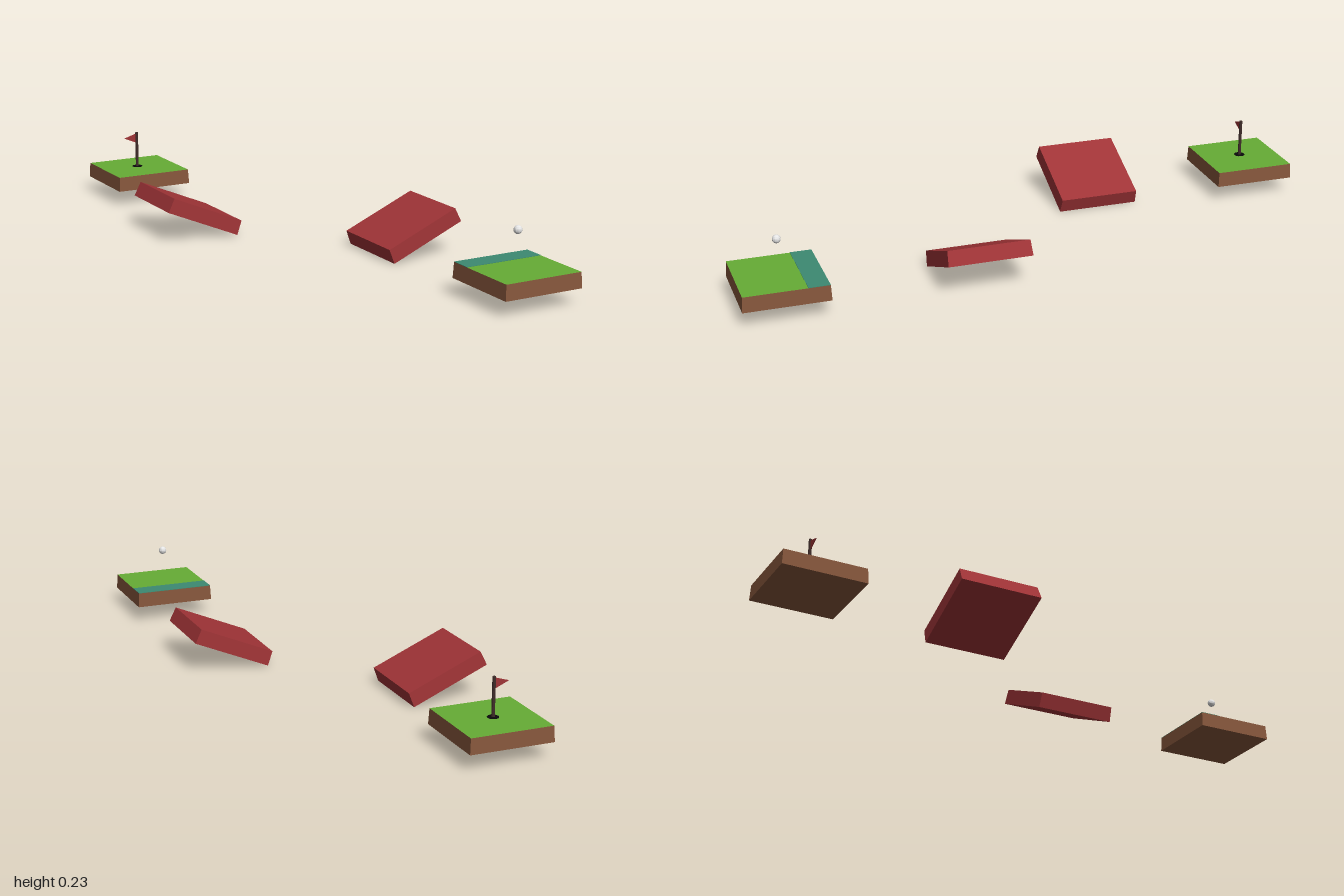
import * as THREE from 'three';

const mat = (name, color, extra = {}) => {
  const m = new THREE.MeshStandardMaterial({ color, flatShading: true, ...extra });
  m.name = name;
  return m;
};

export function createModel() {
  const model = new THREE.Group();
  model.name = 'golfCourse';

  const grass = mat('grass green', 0x66ad35);
  const soil = mat('soil brown', 0x87573c);
  const red = mat('red', 0xa03437, { side: THREE.DoubleSide });
  const teal = mat('teal', 0x3d8a72);
  const dark = mat('pole dark brown', 0x3f2c29);
  const black = mat('hole black', 0x0a0a0a);
  const white = mat('ball white', 0xe4e4e4);

  const add = (parent, name, geometry, material, x, y, z) => {
    const mesh = new THREE.Mesh(geometry, material);
    mesh.name = name;
    mesh.position.set(x, y, z);
    parent.add(mesh);
    return mesh;
  };

  // Square slab, slightly wider at the bottom; groups are side, top, bottom
  const TOP = 0.267, BOTTOM = 0.272, THICK = 0.05;
  const slab = new THREE.CylinderGeometry(TOP / Math.SQRT2, BOTTOM / Math.SQRT2, THICK, 4)
    .rotateY(Math.PI / 4);

  const tee = new THREE.Group();
  tee.name = 'teeTile';
  tee.position.set(0.25, 0.08, 0.864);
  const green = new THREE.Group();
  green.name = 'holeTile';
  green.position.set(-0.188, 0.08, -0.864);
  model.add(tee, green);
  for (const tile of [tee, green]) add(tile, 'grassSlab', slab, [soil, grass, soil], 0, 0, 0);

  // Two red slabs tilted in opposite directions
  for (const [name, side, z] of [['rightRamp', -1, -0.318], ['leftRamp', 1, 0.23]]) {
    add(model, name, slab, red, side * 0.253, 0.0795, z).rotation.z = side * 0.405;
  }

  // Tee: teal band along the back edge and the ball above it
  add(tee, 'tealBand', new THREE.BoxGeometry(TOP, 0.002, 0.068), teal, 0, 0.0252, -0.0995);
  add(tee, 'ball', new THREE.SphereGeometry(0.0135, 12, 8), white, 0, 0.138, -0.002);

  // Hole, pole and pennant
  add(green, 'hole', new THREE.CylinderGeometry(0.018, 0.018, 0.002, 12), black, -0.004, 0.0255, -0.004);
  add(green, 'pole', new THREE.CylinderGeometry(0.0055, 0.0055, 0.126, 8), dark, -0.004, 0.087, -0.004);
  const pennant = new THREE.Shape([
    new THREE.Vector2(0, 0.018),
    new THREE.Vector2(-0.048, 0.003),
    new THREE.Vector2(0, -0.018),
  ]);
  add(green, 'flag', new THREE.ExtrudeGeometry(pennant, { depth: 0.002, bevelEnabled: false }),
    red, -0.004, 0.129, -0.005);

  return model;
}
